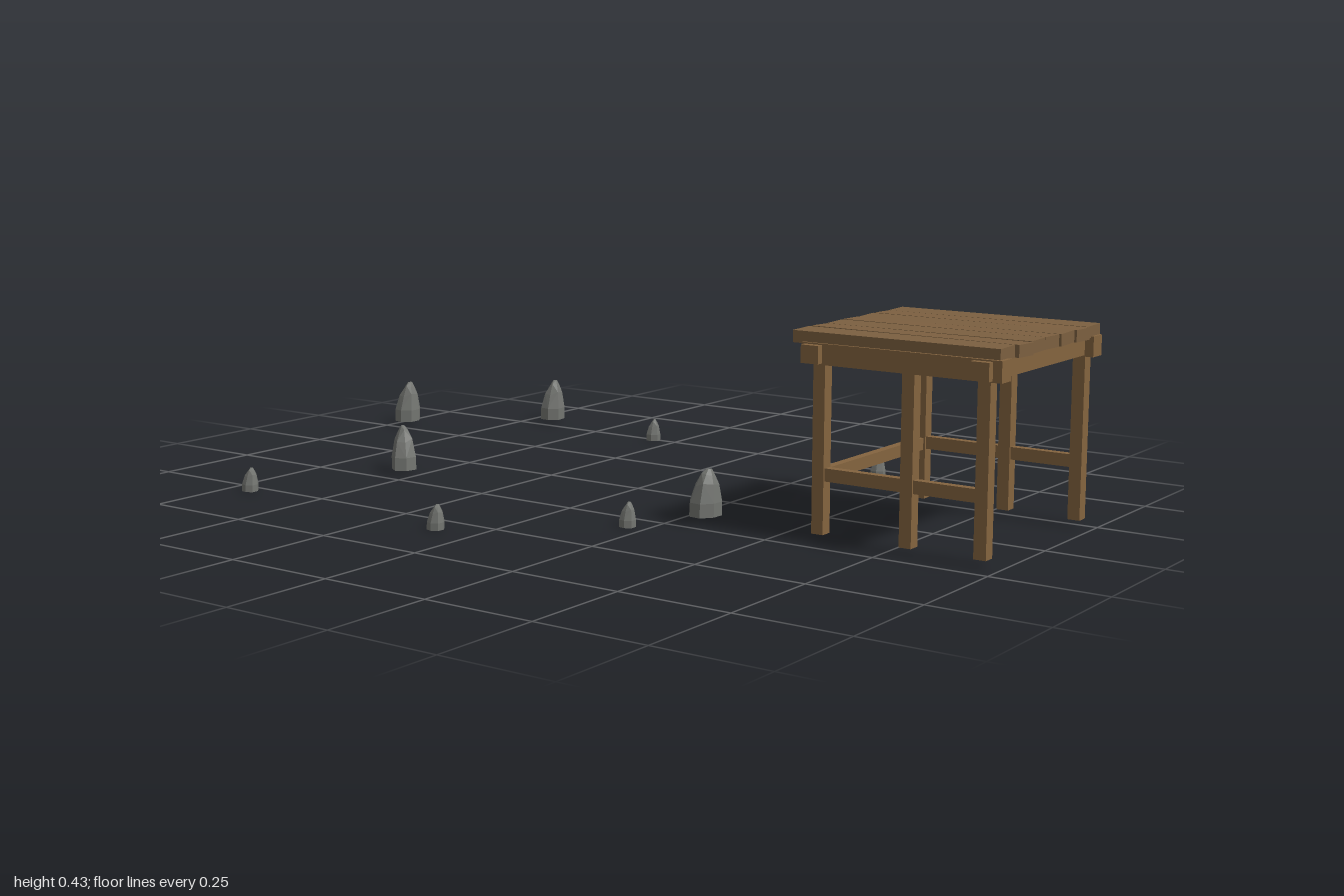
import * as THREE from 'three';
import { ConvexGeometry } from 'three/addons/geometries/ConvexGeometry.js';

const material = (name, color) => {
  const m = new THREE.MeshStandardMaterial({ color, flatShading: true });
  m.name = name;
  return m;
};

export function createModel() {
  const frameWood = material('frame wood', 0x84643f);
  const plankWood = material('plank wood', 0x7c6040);
  const stone = material('stone', 0x727470);
  const model = new THREE.Group();
  const table = new THREE.Group();
  table.name = 'table';
  model.add(table);

  // Box given by its limits on each axis
  const box = (name, [x0, x1], [y0, y1], [z0, z1], mat = frameWood) => {
    const mesh = new THREE.Mesh(new THREE.BoxGeometry(x1 - x0, y1 - y0, z1 - z0), mat);
    mesh.position.set((x0 + x1) / 2, (y0 + y1) / 2, (z0 + z1) / 2);
    mesh.name = name;
    table.add(mesh);
    return mesh;
  };

  // Three legs, a long apron and a stretcher on each side
  for (const [side, x] of [['right', -0.187], ['left', 0.238]]) {
    for (const [place, z] of [['Back', 0.593], ['Middle', 0.794], ['Front', 0.957]]) {
      box(side + place + 'Leg', [x - 0.0135, x + 0.0135], [0.015, 0.385], [z - 0.0135, z + 0.0135]);
    }
    const ax = x + (x < 0 ? 0.005 : -0.007);
    box(side + 'Apron', [ax - 0.02, ax + 0.02], [0.362, 0.405], [0.552, 0.994]);
    box(side + 'Stretcher', [x - 0.009, x + 0.009], [0.125, 0.152], [0.595, 0.955]);
  }

  // Cross beams with projecting ends, and the single back stretcher
  box('backApron', [-0.218, 0.268], [0.365, 0.402], [0.56, 0.6]);
  box('frontApron', [-0.218, 0.268], [0.365, 0.402], [0.935, 0.975]);
  box('backStretcher', [-0.187, 0.238], [0.123, 0.149], [0.584, 0.602]);

  // Uneven top planks: back end, front end, yaw, roll
  const planks = [
    [0.528, 0.986, 0.006, 0.02], [0.53, 0.995, -0.008, -0.03], [0.53, 0.988, 0.009, 0.02],
    [0.529, 0.988, -0.005, -0.02], [0.53, 0.99, 0.008, 0.03], [0.53, 0.995, -0.006, -0.02],
    [0.529, 0.988, 0.005, 0.02],
  ];
  planks.forEach(([z0, z1, yaw, roll], i) => {
    const x = -0.165 + i * 0.0645;
    const plank = box('plank' + (i + 1), [x - 0.0305, x + 0.0305], [0.402, 0.427], [z0, z1], plankWood);
    plank.rotation.set(0, yaw, roll);
  });

  // Faceted boulder: shrinking seven-sided rings leaning to one side
  const radii = [1, 0.92, 1.04, 0.95, 1.03, 0.9, 1];
  const levels = [[0, 0.97, 0], [0.3, 0.96, 0.03], [0.72, 0.7, 0.12], [0.92, 0.42, 0.2], [1, 0.16, 0.25]];
  const points = [];
  levels.forEach(([y, r, lean], k) => radii.forEach((f, i) => {
    const a = (i / 7) * Math.PI * 2 + 0.3;
    const drop = k > 1 && k < 4 ? ((i * 3 + k) % 4) * 0.025 : 0;
    points.push(new THREE.Vector3(Math.cos(a) * r * f + lean, y - drop, Math.sin(a) * r * f));
  }));
  const rockShape = new ConvexGeometry(points);

  // x, z, turn
  const rocks = (name, list, rx, rz, y, height) => list.forEach(([x, z, turn], i) => {
    const rock = new THREE.Mesh(rockShape, stone);
    rock.name = name + (i + 1);
    rock.scale.set(rx, height, rz);
    rock.position.set(x, y, z);
    rock.rotation.y = turn;
    model.add(rock);
  });
  rocks('largeRock', [[0.3, -0.969, 0], [0.548, -0.677, 0.1], [-0.18, -0.548, 0.8], [-0.173, 0.3, -0.7]],
    0.038, 0.032, 0.01, 0.1);
  rocks('smallRock', [[-0.533, -0.69, 0], [0.495, -0.312, 0.1], [-0.571, -0.102, -0.1], [-0.317, 0.205, 0], [0.431, 0.375, 0.1]],
    0.02, 0.019, 0, 0.052);

  return model;
}
